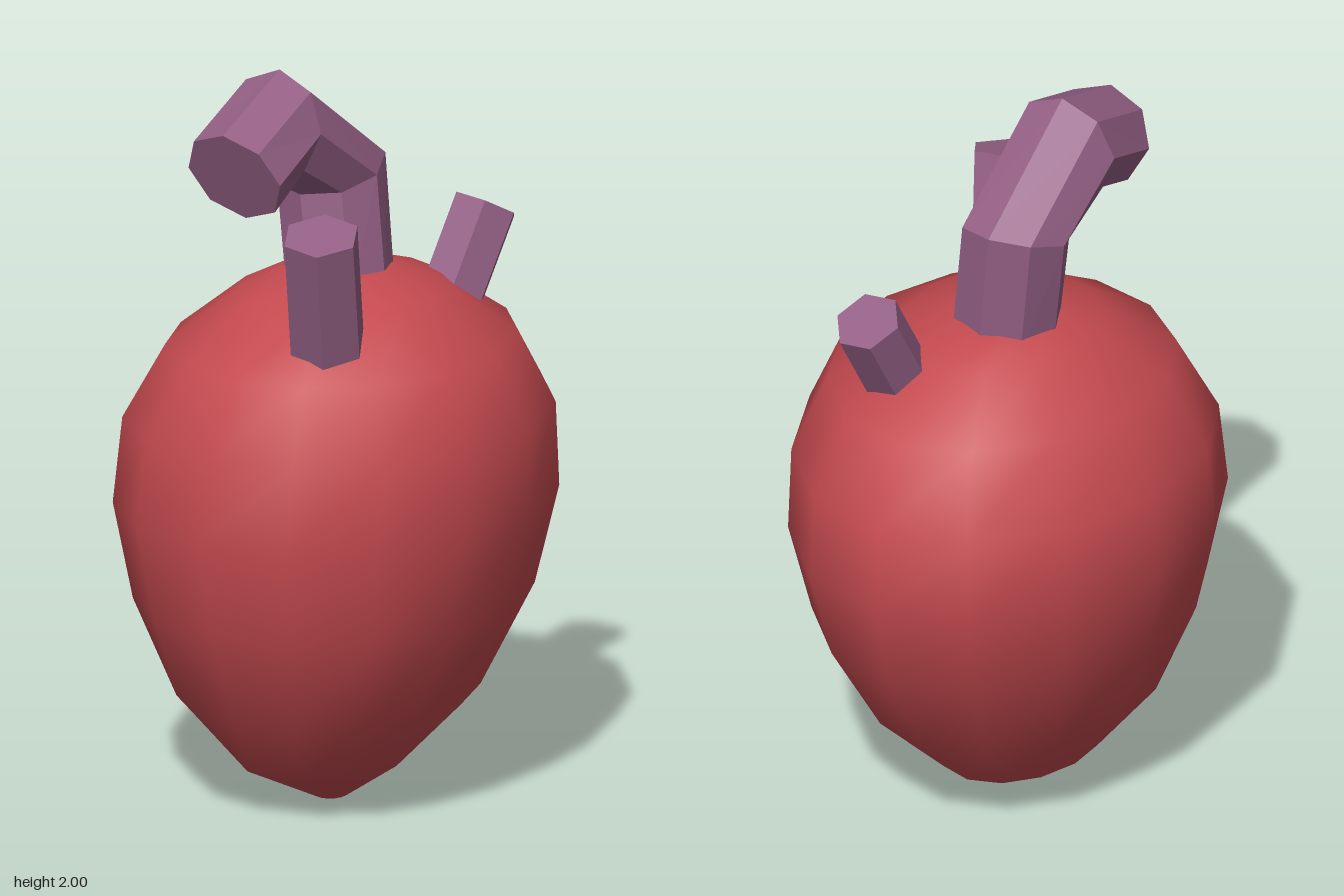
import * as THREE from 'three';

// Closed skin over rings of points, ordered from the bottom ring to the top one
function loft(rings) {
  const n = rings[0].length;
  const points = rings.flat();
  const index = [];
  for (let r = 0; r < rings.length - 1; r++) {
    for (let i = 0; i < n; i++) {
      const a = r * n + i, b = r * n + (i + 1) % n;
      index.push(a, a + n, b, b, a + n, b + n);
    }
  }
  const middle = (ring) => ring.reduce((s, p) => s.add(p), new THREE.Vector3()).divideScalar(n);
  const start = points.push(middle(rings[0])) - 1;
  const end = points.push(middle(rings[rings.length - 1])) - 1;
  const last = (rings.length - 1) * n;
  for (let i = 0; i < n; i++) {
    const j = (i + 1) % n;
    index.push(start, i, j, end, last + j, last + i);
  }
  const geometry = new THREE.BufferGeometry().setFromPoints(points);
  geometry.setIndex(index);
  geometry.computeVertexNormals();
  return geometry;
}

// Polygon around a centre, spanned by two half-axes
function ring(centre, u, v, sides, phase = 0) {
  return Array.from({ length: sides }, (_, i) => {
    const a = phase + (i / sides) * Math.PI * 2;
    return centre.clone().addScaledVector(u, Math.cos(a)).addScaledVector(v, Math.sin(a));
  });
}

const vec = (x, y, z) => new THREE.Vector3(x, y, z);

// Straight six-sided vessel between two points
function stub(from, to, radius) {
  const axis = to.clone().sub(from).normalize();
  const u = vec(1, 0, 0).addScaledVector(axis, -axis.x).normalize();
  const v = u.clone().cross(axis).multiplyScalar(radius);
  u.multiplyScalar(radius);
  return loft([from, to].map((c) => ring(c, u, v, 6, Math.PI / 6)));
}

export function createModel() {
  const group = new THREE.Group();
  const red = new THREE.MeshStandardMaterial({ color: 0xc44a4f });
  const purple = new THREE.MeshStandardMaterial({ color: 0x946085, flatShading: true });
  const add = (name, geometry, material) => {
    const mesh = new THREE.Mesh(geometry, material);
    mesh.name = name;
    group.add(mesh);
  };

  // Heart body: height, centre x, half width, half depth, centre z
  const levels = [
    [0, -0.05, 0.05, 0.04, 0],
    [0.1, -0.055, 0.255, 0.205, -0.015],
    [0.29, -0.045, 0.445, 0.375, 0],
    [0.56, -0.02, 0.59, 0.495, 0.005],
    [0.82, 0, 0.655, 0.55, 0],
    [1.05, 0.005, 0.625, 0.54, 0.005],
    [1.25, -0.01, 0.51, 0.44, 0.02],
    [1.385, 0.005, 0.3, 0.26, 0],
    [1.435, 0.015, 0.135, 0.14, -0.02],
  ];
  const body = levels.map(([y, cx, rx, rz, cz]) => {
    const points = ring(vec(cx, y, cz), vec(rx, 0, 0), vec(0, 0, rz), 14);
    // Front and back bulge towards the right side
    points.forEach((p, i) => { p.x -= 0.085 * rx * Math.sin((i / 14) * Math.PI * 2) ** 2; });
    return points;
  });
  add('heartBody', loft(body), red);

  // Arched vessel: mitred octagonal sections, each a centre and an outward half-axis
  const arch = [
    [vec(0.02, 1.38, -0.025), vec(0.14, 0, 0)],
    [vec(0.035, 1.69, -0.065), vec(0.14, 0.045, 0)],
    [vec(-0.19, 1.852, -0.085), vec(0.02, 0.148, 0)],
    [vec(-0.41, 1.767, -0.06), vec(-0.052, 0.125, 0)],
  ];
  add('archedVessel', loft(arch.map(([c, u]) => ring(c, u, vec(0, 0, 0.148), 8))), purple);

  // Two short vessels on the front shoulders
  add('rightVessel', stub(vec(-0.31, 1.305, 0.17), vec(-0.403, 1.65, 0.215), 0.105), purple);
  add('leftVessel', stub(vec(0.285, 1.312, 0.145), vec(0.41, 1.535, 0.165), 0.093), purple);

  return group;
}
